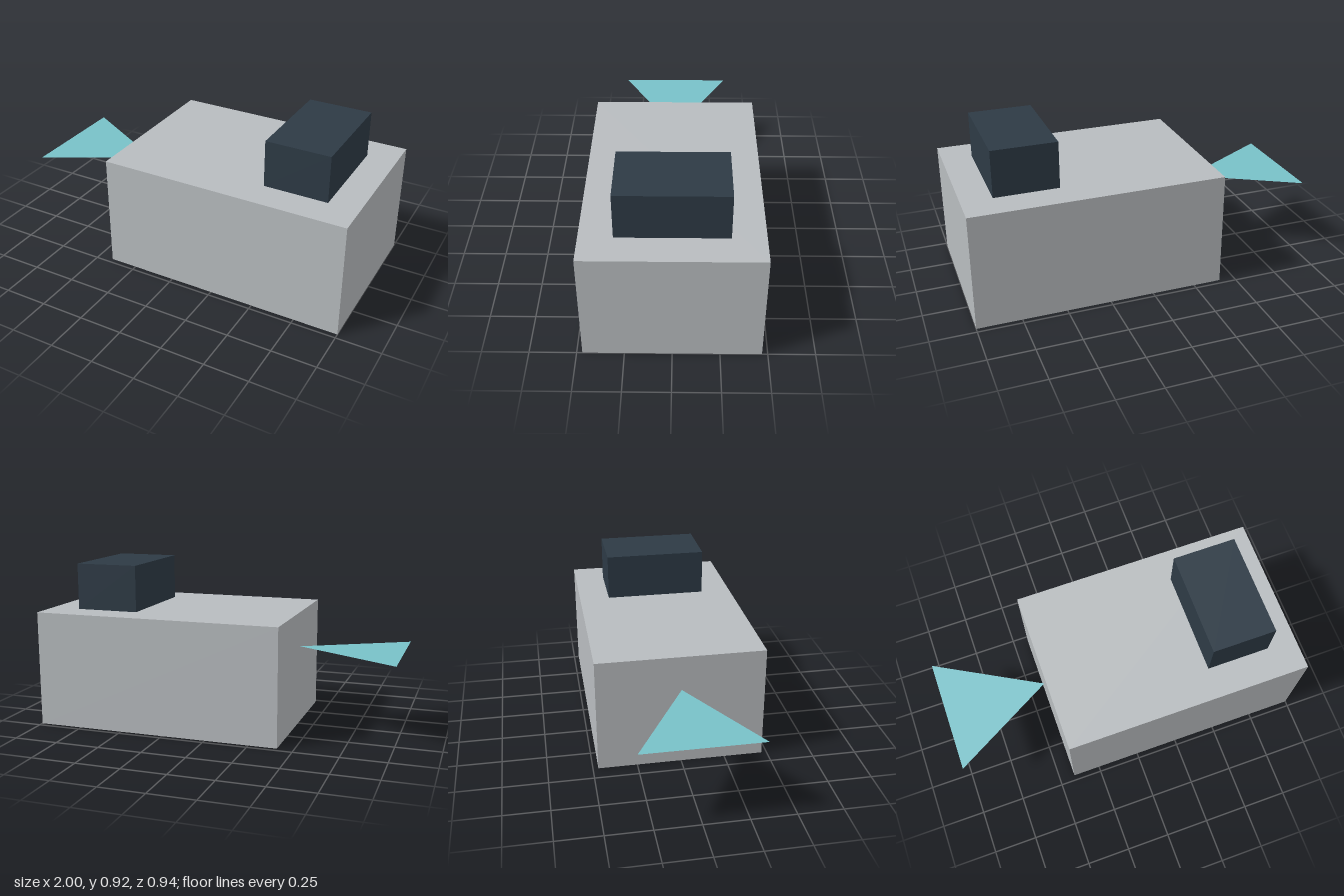
import * as THREE from 'three';

const material = (name, color, side = THREE.FrontSide) => {
  const m = new THREE.MeshStandardMaterial({ color, side });
  m.name = name;
  return m;
};

export function createModel() {
  const group = new THREE.Group();
  const grey = material('light grey', 0xb8bcbf);
  const navy = material('dark slate', 0x2d3a45);
  const teal = material('teal', 0x78c1c8, THREE.DoubleSide);

  const add = (name, geometry, mat, x, y, z) => {
    const mesh = new THREE.Mesh(geometry, mat);
    mesh.name = name;
    mesh.position.set(x, y, z);
    group.add(mesh);
    return mesh;
  };

  // Main block, resting on the ground
  add('body', new THREE.BoxGeometry(1.41, 0.655, 0.94), grey, 0.295, 0.3275, 0);

  // Small block on top, near the +x end
  add('cabin', new THREE.BoxGeometry(0.36, 0.263, 0.586), navy, 0.65, 0.7865, 0);

  // Flat horizontal triangle whose tip touches the -x end
  const fin = new THREE.Shape([
    new THREE.Vector2(-0.415, 0),
    new THREE.Vector2(-1, 0.325),
    new THREE.Vector2(-1, -0.325),
  ]);
  add('tailFin', new THREE.ShapeGeometry(fin).rotateX(-Math.PI / 2), teal, 0, 0.458, 0);

  return group;
}
